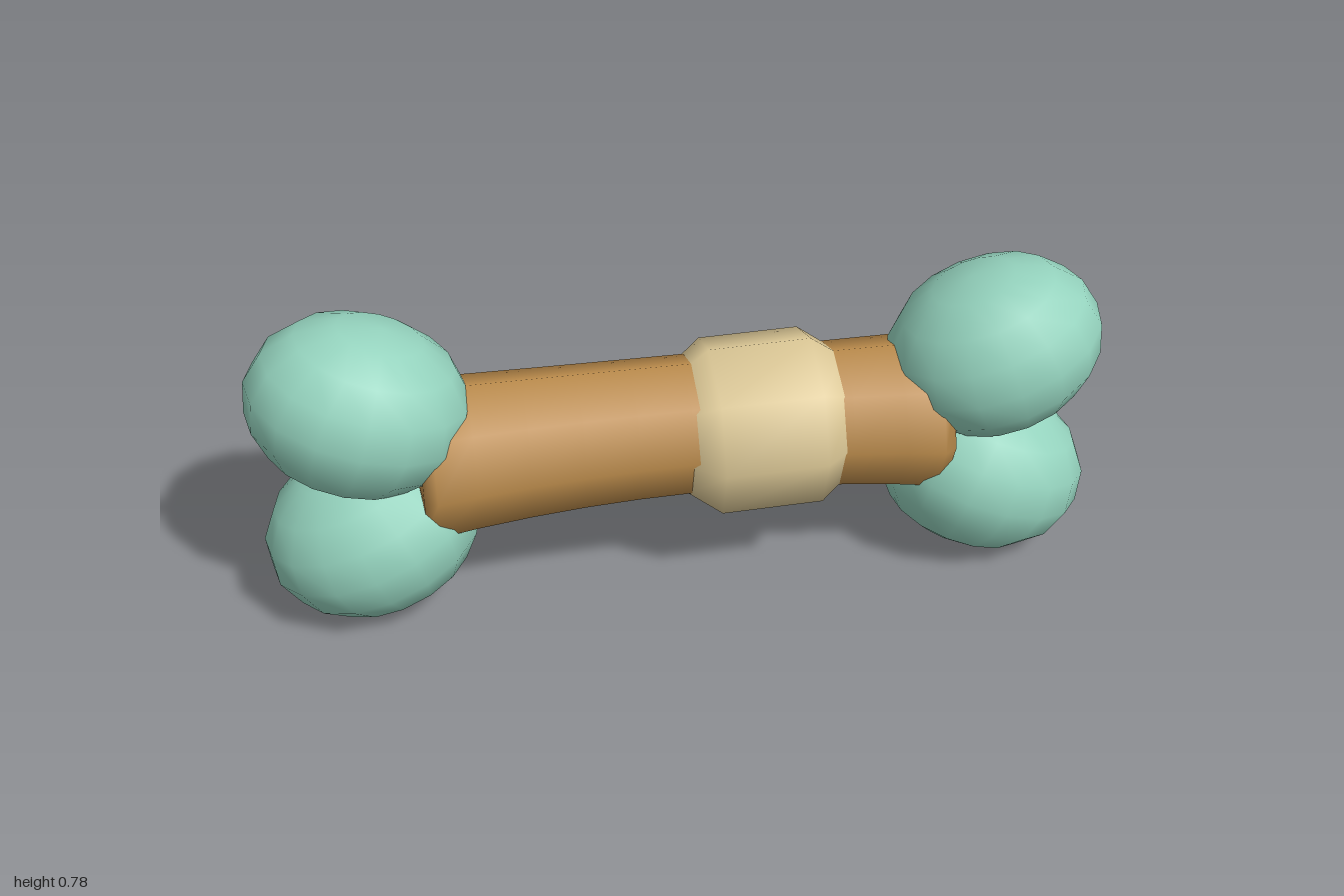
import * as THREE from 'three';

const mint = new THREE.MeshStandardMaterial({ color: 0x94d2bd });
mint.name = 'mint';
const brown = new THREE.MeshStandardMaterial({ color: 0xbc8c4c });
brown.name = 'brown';
const tan = new THREE.MeshStandardMaterial({ color: 0xdcc896 });
tan.name = 'tan';

// Eight-sided turned part lying along x, from [x, radius] pairs
function turned(profile) {
  const points = profile.map(([x, r]) => new THREE.Vector2(r, x));
  return new THREE.LatheGeometry(points, 8).rotateZ(-Math.PI / 2);
}

function addMesh(group, name, geometry, material) {
  const mesh = new THREE.Mesh(geometry, material);
  mesh.name = name;
  group.add(mesh);
  return mesh;
}

export function createModel() {
  const group = new THREE.Group();
  group.name = 'bone';

  // Shaft: narrow in the middle, slightly arched, with softly closed ends
  const profile = [[-0.64, 0], [-0.62, 0.17], [-0.59, 0.19]];
  for (let i = -4; i <= 4; i++) {
    const x = i * 0.125;
    profile.push([x, 0.167 + 0.065 * x * x]);
  }
  profile.push([0.59, 0.19], [0.62, 0.17], [0.64, 0]);
  const shaft = turned(profile);
  const p = shaft.attributes.position;
  for (let i = 0; i < p.count; i++) {
    p.setY(i, p.getY(i) + 0.418 - 0.07 * p.getX(i) ** 2);
  }
  addMesh(group, 'shaft', shaft, brown);

  // Off-centre wrap around the shaft
  const wrap = turned([[-0.195, 0.155], [-0.12, 0.213], [0.12, 0.213], [0.195, 0.155]]);
  const band = addMesh(group, 'wrapBand', wrap, tan);
  band.position.set(0.185, 0.409, 0);
  band.rotation.z = 0.025;

  // Four tilted knobs, mirrored left/right and top/bottom
  const knob = new THREE.SphereGeometry(1, 16, 8);
  for (const sx of [1, -1]) {
    for (const sy of [1, -1]) {
      const name = (sy > 0 ? 'upper' : 'lower') + (sx > 0 ? 'Left' : 'Right') + 'Knob';
      const mesh = addMesh(group, name, knob, mint);
      mesh.scale.set(0.262, 0.208, 0.225);
      mesh.position.set(sx * 0.745, 0.387 + sy * 0.173, 0);
      mesh.rotation.z = sx * sy * 0.35;
    }
  }
  return group;
}
